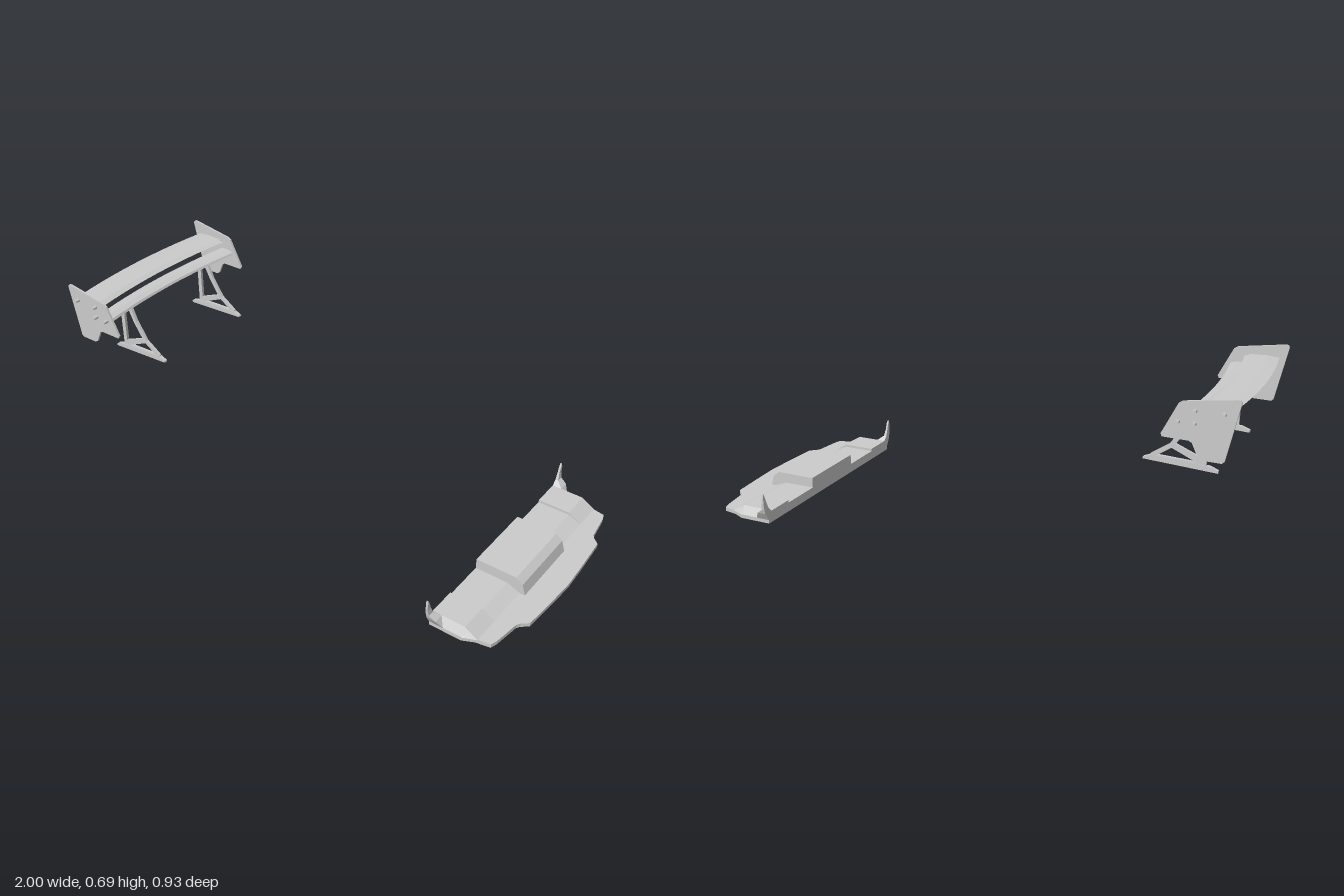
import * as THREE from 'three';

const mat = new THREE.MeshStandardMaterial({ color: 0xcccccc, flatShading: true, side: THREE.DoubleSide });

function add(parent, name, geometry) {
  const mesh = new THREE.Mesh(geometry, mat);
  mesh.name = name;
  parent.add(mesh);
  return mesh;
}

// Skin a list of rings (each a list of [x, y, z]) with flat quads
function loft(rings, closed) {
  const pos = [];
  const n = rings[0].length;
  for (let i = 0; i < rings.length - 1; i++) {
    for (let j = 0; j < (closed ? n : n - 1); j++) {
      const k = (j + 1) % n;
      const a = rings[i][j], b = rings[i][k], c = rings[i + 1][k], d = rings[i + 1][j];
      pos.push(...a, ...c, ...b, ...a, ...d, ...c);
    }
  }
  const g = new THREE.BufferGeometry();
  g.setAttribute('position', new THREE.Float32BufferAttribute(pos, 3));
  g.computeVertexNormals();
  return g;
}

// Flat plate in the x-y plane, centred on z
function plate(points, holes, thickness, z) {
  const vec = list => list.map(p => new THREE.Vector2(p[0], p[1]));
  const shape = new THREE.Shape(vec(points));
  for (const h of holes) shape.holes.push(new THREE.Path(vec(h)));
  const g = new THREE.ExtrudeGeometry(shape, { depth: thickness, bevelEnabled: false });
  return g.translate(0, 0, z - thickness / 2);
}

function createRearWing() {
  const wing = new THREE.Group();
  wing.name = 'rearWing';

  // Two slotted blades, bowed backwards in the middle
  const blades = {
    upperBlade: [[-0.992, 0.642], [-0.95, 0.646], [-0.89, 0.644], [-0.868, 0.636], [-0.89, 0.630], [-0.95, 0.632]],
    lowerBlade: [[-0.872, 0.611], [-0.84, 0.610], [-0.818, 0.603], [-0.813, 0.595], [-0.83, 0.588], [-0.85, 0.595]],
  };
  for (const [name, profile] of Object.entries(blades)) {
    const rings = [];
    for (let i = 0; i <= 10; i++) {
      const t = i / 5 - 1;
      rings.push(profile.map(([x, y]) => [x + 0.025 * t * t, y, t * 0.347]));
    }
    add(wing, name, loft(rings, true));
  }

  const endOutline = [[-1, 0.683], [-0.995, 0.69], [-0.985, 0.691], [-0.815, 0.665], [-0.803, 0.657],
    [-0.75, 0.55], [-0.755, 0.54], [-0.84, 0.539], [-0.852, 0.533], [-0.873, 0.488], [-0.885, 0.48], [-0.95, 0.479], [-0.958, 0.486]];
  const bolts = [[-0.95, 0.64], [-0.858, 0.64], [-0.858, 0.598], [-0.805, 0.598]];

  // Braced strut with two openings
  const strutOutline = [[-0.87, 0.405], [-0.68, 0.412], [-0.682, 0.428], [-0.744, 0.47], [-0.789, 0.54],
    [-0.812, 0.594], [-0.87, 0.598]];
  const strutHoles = [
    [[-0.853, 0.58], [-0.853, 0.437], [-0.765, 0.473], [-0.805, 0.535], [-0.826, 0.58]],
    [[-0.835, 0.421], [-0.705, 0.426], [-0.752, 0.458]],
  ];
  const footOutline = [[-0.91, 0.394], [-0.655, 0.407], [-0.657, 0.413], [-0.685, 0.425], [-0.88, 0.413], [-0.91, 0.402]];

  for (const s of [1, -1]) {
    add(wing, 'endPlate', plate(endOutline, [], 0.008, s * 0.349));
    for (const [x, y] of bolts) {
      const bolt = new THREE.CylinderGeometry(0.0065, 0.0065, 0.03, 10).rotateX(Math.PI / 2);
      add(wing, 'bolt', bolt.translate(x, y, s * 0.357));
    }
    add(wing, 'strut', plate(strutOutline, strutHoles, 0.011, s * 0.218));
    add(wing, 'strutFoot', plate(footOutline, [], 0.015, s * 0.218));
  }
  return wing;
}

function createFrontSplitter() {
  const splitter = new THREE.Group();
  splitter.name = 'frontSplitter';

  // Flat lip with a stepped front edge, open under the raised deck
  const half = [[0.71, 0.44], [0.835, 0.44], [0.877, 0.42], [0.93, 0.41], [0.938, 0.385], [0.952, 0.283],
    [0.96, 0.27], [0.985, 0.248], [0.995, 0.1]];
  const outline = [...half, [1, 0], ...half.map(([x, z]) => [x, -z]).reverse()];
  const opening = [[0.714, 0.425], [0.714, -0.425], [0.83, -0.425], [0.875, -0.4], [0.875, 0.4], [0.83, 0.425]];
  const lip = plate(outline, [opening], 0.015, 0).rotateX(Math.PI / 2).translate(0, 0.0075, 0);
  add(splitter, 'lip', lip);

  // Raised deck: hollow shell with stepped heights and a tall centre duct
  const side = h => [[0.71, 0], [0.71, h], [0.835, h], [0.855, 0.015 + (h - 0.015) * 0.6], [0.885, 0.015]];
  const end = [[0.71, 0], [0.71, 0.015], [0.83, 0.015], [0.835, 0.015], [0.84, 0.015]];
  const duct = [[0.71, 0], [0.71, 0.075], [0.867, 0.075], [0.893, 0.055], [0.906, 0.015]];
  const steps = [[0.44, end], [0.42, side(0.045)], [0.31, side(0.045)], [0.31, side(0.035)], [0.143, side(0.035)], [0.143, duct]];
  const sections = [...steps.map(([z, p]) => [-z, p]), ...steps.reverse()];
  add(splitter, 'deck', loft(sections.map(([z, p]) => p.map(([x, y]) => [x, y, z])), false));

  // Upswept winglets on the rear corners: height, inner z, outer z, front x
  const levels = [[0.014, 0.42, 0.44, 0.765], [0.045, 0.42, 0.458, 0.745], [0.062, 0.437, 0.463, 0.722],
    [0.087, 0.447, 0.466, 0.718], [0.11, 0.455, 0.466, 0.718], [0.125, 0.462, 0.464, 0.716]];
  const rings = levels.map(([y, zi, zo, xf]) => [[0.71, y, zi], [0.71, y, zo], [xf, y, zo], [xf, y, zi]]);
  for (const s of [1, -1]) {
    add(splitter, 'winglet', loft(rings, true)).scale.z = s;
  }
  return splitter;
}

export function createModel() {
  const model = new THREE.Group();
  model.name = 'aeroKit';
  model.add(createRearWing(), createFrontSplitter());
  return model;
}
